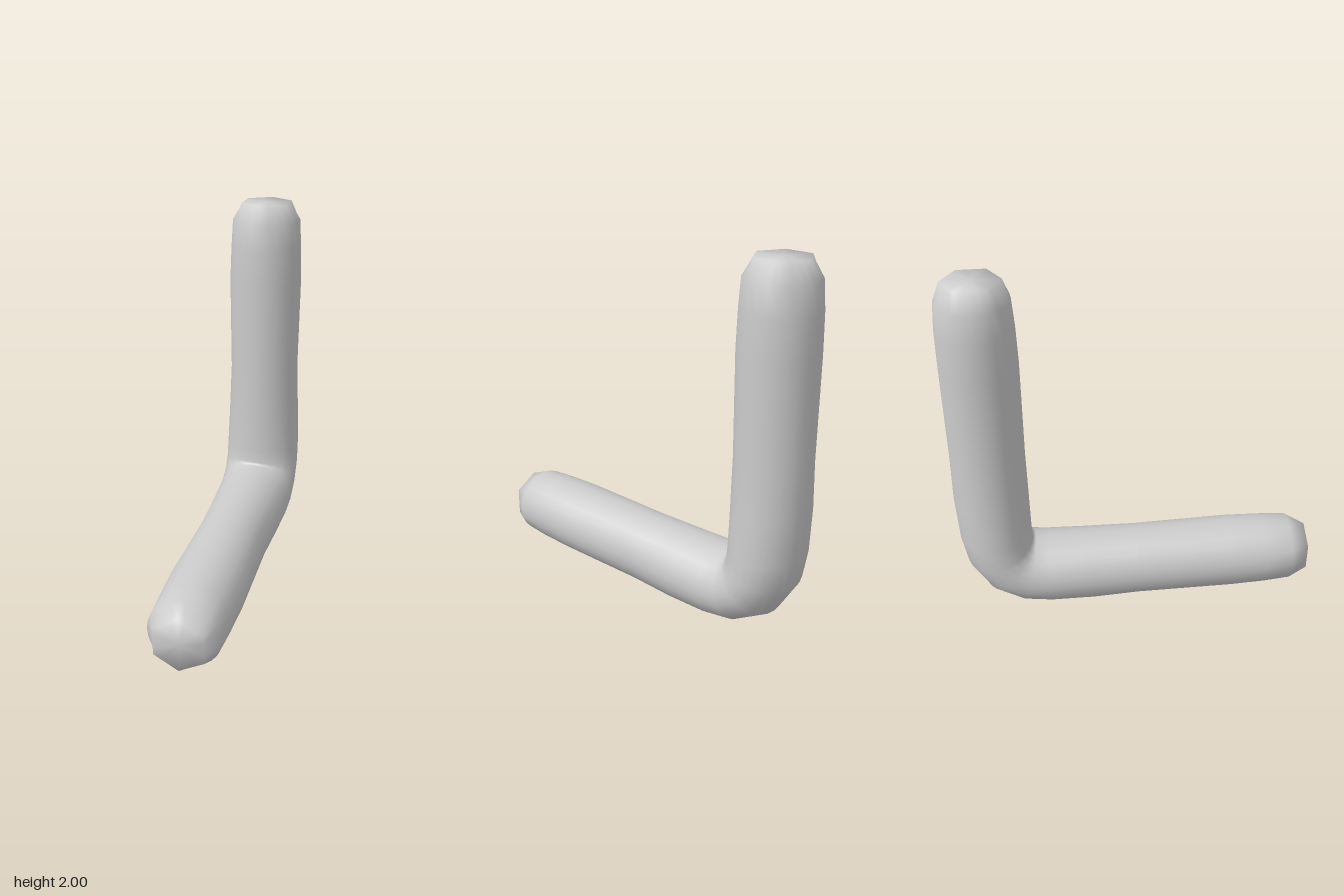
import * as THREE from 'three';

const SIDES = 24;

// Half of the rod, from the front tip to the elbow:
// inner edge (y, z), outer edge (y, z), half width in x
const half = [
  [0.36, 1, 0.06, 1, 0.15],
  [0.395, 0.9, 0.02, 0.9, 0.195],
  [0.405, 0.75, 0.008, 0.75, 0.203],
  [0.41, 0.55, 0.005, 0.55, 0.21],
  [0.405, 0, 0.005, 0, 0.202],
  [0.408, -0.3, 0, -0.25, 0.213],
  [0.41, -0.5, 0.012, -0.5, 0.222],
  [0.415, -0.57, 0.042, -0.67, 0.224],
];
const elbow = [0.42, -0.58, 0.15, -0.85, 0.224];

// The upright half mirrors the lying half across the elbow's diagonal
const mirror = ([yi, zi, yo, zo, w]) => [zi + 1, yi - 1, zo + 1, yo - 1, w];

function rodGeometry() {
  const rings = [...half, elbow, ...half.map(mirror).reverse()];
  const last = rings.length - 1;
  const pos = [];
  const index = [];
  rings.forEach(([yi, zi, yo, zo, w], r) => {
    for (let i = 0; i < SIDES; i++) {
      const a = (i / SIDES) * Math.PI * 2;
      // tips are six-sided, the rest is round
      const hex = Math.cos(Math.PI / 6) / Math.cos((a % (Math.PI / 3)) - Math.PI / 6);
      const k = r === 0 || r === last ? hex : 1;
      const c = Math.cos(a) * k * 0.5;
      pos.push(Math.sin(a) * w * k, (yi + yo) / 2 + (yi - yo) * c, (zi + zo) / 2 + (zi - zo) * c);
    }
  });
  for (let r = 0; r < last; r++) {
    for (let i = 0; i < SIDES; i++) {
      const a = r * SIDES + i;
      const b = r * SIDES + ((i + 1) % SIDES);
      index.push(a, b, a + SIDES, b, b + SIDES, a + SIDES);
    }
  }
  // flat tips sharing the wall's vertices, so they shade smoothly
  const front = pos.length / 3;
  pos.push(0, 0.21, 1, 0, 2, -0.79);
  for (let i = 0; i < SIDES; i++) {
    const j = (i + 1) % SIDES;
    index.push(front, j, i);
    index.push(front + 1, last * SIDES + i, last * SIDES + j);
  }
  // outward winding
  for (let t = 0; t < index.length; t += 3) {
    const p = [0, 1, 2].map((n) => new THREE.Vector3().fromArray(pos, index[t + n] * 3));
    const normal = p[1].clone().sub(p[0]).cross(p[2].clone().sub(p[0]));
    const mid = p[0].clone().add(p[1]).add(p[2]).divideScalar(3);
    // nearest point of the L-shaped centre line
    const lying = new THREE.Vector3(0, 0.21, THREE.MathUtils.clamp(mid.z, -0.75, 0.8));
    const upright = new THREE.Vector3(0, THREE.MathUtils.clamp(mid.y, 0.25, 1.8), -0.79);
    const core = mid.distanceTo(lying) < mid.distanceTo(upright) ? lying : upright;
    if (normal.dot(mid.sub(core)) < 0) [index[t + 1], index[t + 2]] = [index[t + 2], index[t + 1]];
  }
  const geometry = new THREE.BufferGeometry();
  geometry.setAttribute('position', new THREE.Float32BufferAttribute(pos, 3));
  geometry.setIndex(index);
  geometry.computeVertexNormals();
  return geometry;
}

export function createModel() {
  const group = new THREE.Group();
  const rod = new THREE.Mesh(rodGeometry(), new THREE.MeshStandardMaterial({ color: 0xcccccc }));
  rod.name = 'bentRod';
  group.add(rod);
  return group;
}
